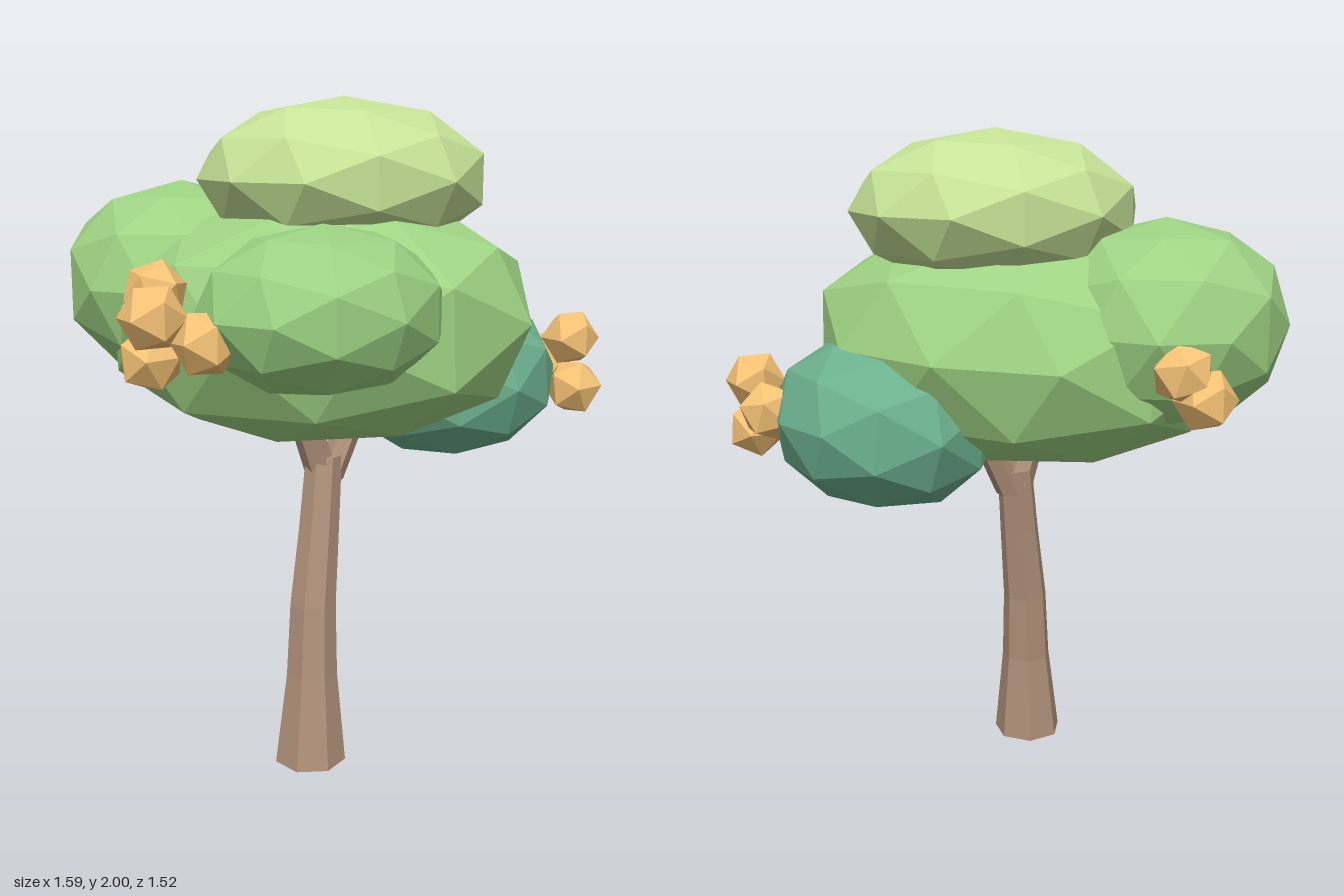
import * as THREE from 'three';

const mat = (color) => new THREE.MeshStandardMaterial({ color, flatShading: true });

// Faceted ball; a fullness below 1 pushes the rings towards a boxier profile
function clumpGeometry(radii, fullness) {
  const geometry = new THREE.IcosahedronGeometry(1, 1);
  const p = geometry.attributes.position;
  for (let i = 0; i < p.count; i++) {
    const y = p.getY(i);
    p.setY(i, Math.sign(y) * Math.abs(y) ** fullness);
  }
  return geometry.scale(...radii);
}

export function createModel() {
  const tree = new THREE.Group();
  const add = (name, geometry, material) => {
    const mesh = new THREE.Mesh(geometry, material);
    mesh.name = name;
    tree.add(mesh);
    return mesh;
  };

  // Leaf clumps: name, colour, centre, radii, turn about y, tilt about z, fullness
  const clumps = [
    ['mainCanopy', 0x9fd383, [-0.04, 1.365, 0.055], [0.565, 0.355, 0.655], 0.6, 0.04, 0.8],
    ['topCanopy', 0xc6e396, [0.045, 1.767, 0.06], [0.435, 0.233, 0.43], 0.24, 0, 1],
    ['frontRightCanopy', 0x9bd182, [-0.265, 1.447, 0.467], [0.355, 0.225, 0.305], 0.2, 0, 0.95],
    ['backRightCanopy', 0x9fd383, [-0.305, 1.455, -0.315], [0.4, 0.3, 0.36], 0.9, 0, 0.9],
    ['leftCanopy', 0x6cb08d, [0.4, 1.163, 0.095], [0.33, 0.256, 0.37], 0, 0.08, 0.9],
  ];
  for (const [name, color, centre, radii, turn, tilt, fullness] of clumps) {
    const mesh = add(name, clumpGeometry(radii, fullness), mat(color));
    mesh.position.set(...centre);
    mesh.rotation.set(0, turn, tilt, 'ZYX');
  }

  // Bent trunk and forked branches: rings of [x, y, z, radius], bottom to top
  const bark = mat(0xb0917a);
  const limb = (name, rings, sides) => {
    const geometry = new THREE.CylinderGeometry(1, 1, 1, sides, rings.length - 1);
    const p = geometry.attributes.position;
    for (let i = 0; i < p.count; i++) {
      const k = Math.round((p.getY(i) + 0.5) * (rings.length - 1));
      const [x, y, z, r] = rings[k];
      p.setXYZ(i, x + p.getX(i) * r, y, z + p.getZ(i) * r);
    }
    geometry.computeVertexNormals();
    add(name, geometry, bark);
  };
  limb('trunk', [
    [-0.13, 0, 0.16, 0.11],
    [-0.118, 0.28, 0.15, 0.079],
    [-0.106, 0.5, 0.137, 0.071],
    [-0.073, 0.74, 0.118, 0.062],
    [-0.046, 0.95, 0.1, 0.056],
  ], 7);
  limb('rightBranch', [[-0.055, 0.9, 0.1, 0.05], [-0.15, 1.16, 0.11, 0.045]], 6);
  limb('leftBranch', [[-0.03, 0.87, 0.1, 0.045], [0.11, 1.16, 0.09, 0.045]], 6);

  // Clusters of faceted fruit
  const fruitMat = mat(0xf5c275);
  const clusters = {
    leftFruit: [[0.715, 1.275, 0.32], [0.71, 1.2, 0.225], [0.71, 1.125, 0.35]],
    rightFruit: [[-0.72, 1.455, 0.41], [-0.625, 1.49, 0.21], [-0.69, 1.335, 0.32], [-0.605, 1.39, 0.47]],
    backFruit: [[-0.18, 1.305, -0.675], [-0.13, 1.375, -0.64]],
  };
  for (const [name, spots] of Object.entries(clusters)) {
    const group = new THREE.Group();
    group.name = name;
    spots.forEach((spot, i) => {
      const fruit = new THREE.Mesh(new THREE.IcosahedronGeometry(0.09, 0), fruitMat);
      fruit.name = 'fruit';
      fruit.position.set(...spot);
      fruit.rotation.set(0.2 * i, 0.5 * i, 0.3 * i);
      group.add(fruit);
    });
    tree.add(group);
  }
  return tree;
}
